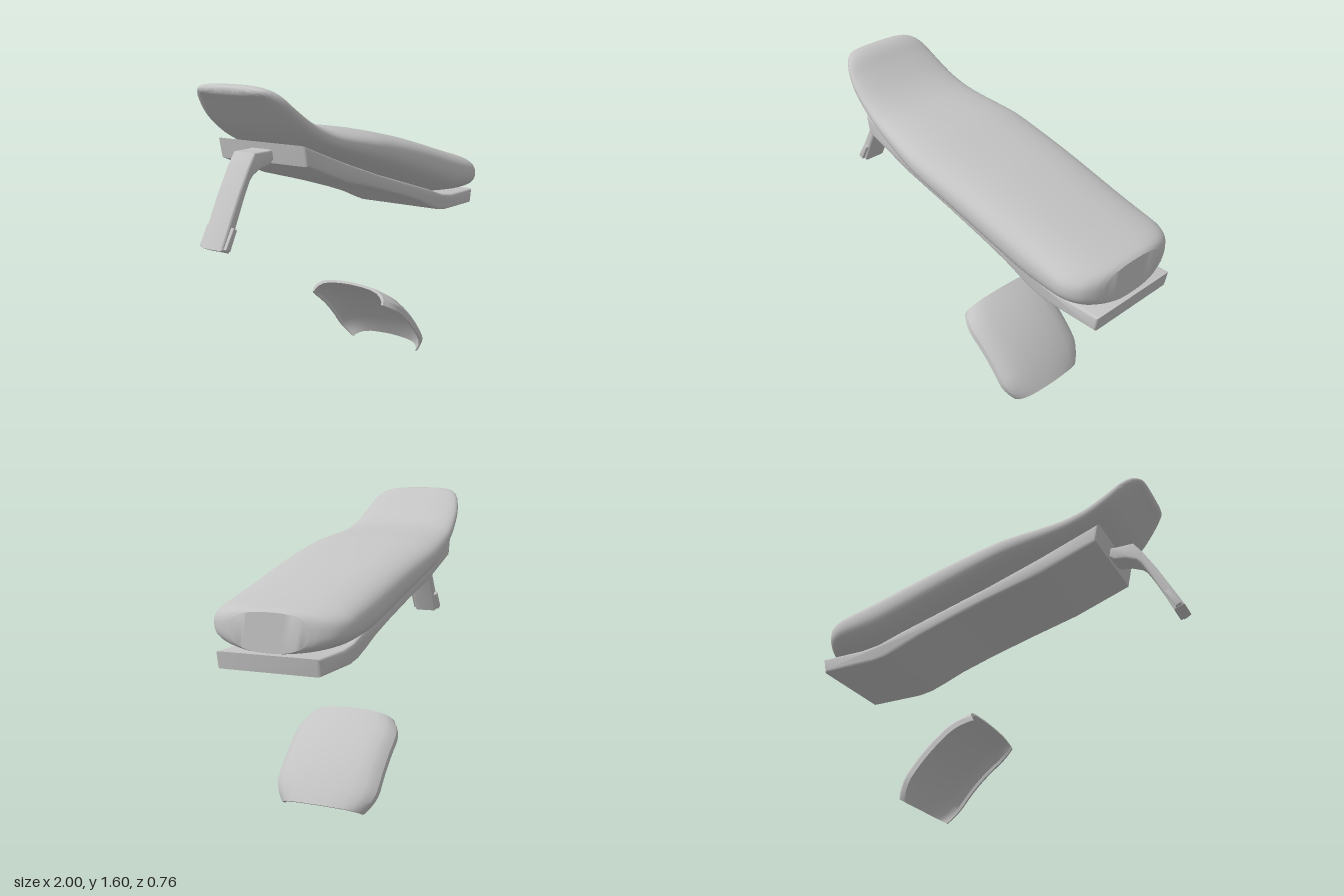
import * as THREE from 'three';
import { toCreasedNormals } from 'three/addons/utils/BufferGeometryUtils.js';

const grey = new THREE.MeshStandardMaterial({ color: 0xc4c4c4 });
grey.name = 'plain grey';

// Skin a row of closed rings (counter-clockwise seen from the last one), capped at both ends
function loft(rings, crease) {
  const n = rings[0].length, last = (rings.length - 1) * n, index = [];
  const quad = (a, b, c, d) => index.push(a, b, c, a, c, d);
  for (let i = 0; i < rings.length - 1; i++) {
    for (let j = 0; j < n; j++) {
      const k = (j + 1) % n;
      quad(i * n + j, i * n + k, (i + 1) * n + k, (i + 1) * n + j);
    }
  }
  for (let j = 0; j < n / 2 - 1; j++) {
    quad(last + j, last + j + 1, last + n - 2 - j, last + n - 1 - j);
    quad(n - 1 - j, n - 2 - j, j + 1, j);
  }
  const geo = new THREE.BufferGeometry().setFromPoints(rings.flat());
  geo.setIndex(index);
  return toCreasedNormals(geo, crease);
}

// Side profile extruded across z with small rounded edges
function slab(points, width, bevel) {
  const shape = new THREE.Shape(points.map(p => new THREE.Vector2(...p)));
  const geo = new THREE.ExtrudeGeometry(shape, {
    depth: width - 2 * bevel, bevelEnabled: true, bevelSize: bevel,
    bevelOffset: -bevel, bevelThickness: bevel, bevelSegments: 3,
  });
  geo.translate(0, 0, bevel - width / 2);
  return toCreasedNormals(geo, 0.6);
}

function cushionGeometry() {
  // x, top, bottom, half width
  const stations = [
    [-0.865, 1.598, 1.575, 0.13], [-0.855, 1.607, 1.56, 0.18], [-0.82, 1.612, 1.525, 0.225],
    [-0.77, 1.59, 1.47, 0.26], [-0.7, 1.533, 1.40, 0.285], [-0.6, 1.465, 1.33, 0.303],
    [-0.5, 1.42, 1.28, 0.32], [-0.4, 1.395, 1.24, 0.337], [-0.2, 1.368, 1.17, 0.372],
    [-0.08, 1.35, 1.13, 0.381], [0.2, 1.292, 1.04, 0.378], [0.4, 1.242, 0.975, 0.374],
    [0.6, 1.187, 0.915, 0.37], [0.75, 1.145, 0.895, 0.366], [0.85, 1.118, 0.89, 0.358],
    [0.92, 1.1, 0.887, 0.32], [0.96, 1.088, 0.887, 0.26], [0.98, 1.075, 0.89, 0.2],
  ];
  const heights = new THREE.CatmullRomCurve3(
    stations.map(s => new THREE.Vector3(s[0], s[1], s[2])), false, 'catmullrom');
  const widths = new THREE.CatmullRomCurve3(
    stations.map(s => new THREE.Vector3(s[3], 0, 0)), false, 'catmullrom');
  const rings = [], steps = 68, around = 56;
  for (let i = 0; i <= steps; i++) {
    const { x, y: top, z: bottom } = heights.getPoint(i / steps);
    const w = widths.getPoint(i / steps).x;
    const mid = (top + bottom) / 2, half = (top - bottom) / 2, ring = [];
    for (let j = 0; j < around; j++) {
      const a = j / around * Math.PI * 2, c = Math.cos(a), s = Math.sin(a);
      const e = s > 0 ? 2 / 2.7 : 2 / 2.4;
      ring.push(new THREE.Vector3(x,
        mid + half * Math.sign(s) * Math.abs(s) ** e,
        -w * Math.sign(c) * Math.abs(c) ** e));
    }
    rings.push(ring);
  }
  return loft(rings, 0.75);
}

function guardGeometry() {
  // Half cross-section: share of the half width, drop below the crown
  const half = [[1, 0.092], [0.99, 0.062], [0.91, 0.04], [0.8, 0.023], [0.6, 0.01], [0.3, 0.003]];
  const across = [...half.map(([f, d]) => [-f, d]), [0, 0], ...half.slice().reverse()];
  const rings = [], steps = 28;
  for (let i = 0; i <= steps; i++) {
    const t = i / steps, a = THREE.MathUtils.degToRad(62.1 - 32.7 * t);
    // Corners are rounded off towards both ends
    const w = 0.285 - 0.05 * Math.max(0, 1 - t / 0.25) ** 2
      - 0.06 * Math.max(0, (t - 0.75) / 0.25) ** 2;
    const at = (f, r) => new THREE.Vector3(
      -0.368 + r * Math.cos(a), -0.456 + r * Math.sin(a), f * w);
    rings.push([
      ...across.map(([f, d]) => at(f, 1.04 - d)),
      ...across.slice().reverse().map(([f, d]) => at(f * 0.955, 1.026 - Math.min(d, 0.078))),
    ]);
  }
  return loft(rings, 0.6);
}

export function createModel() {
  const model = new THREE.Group();
  model.name = 'seatAssembly';
  const add = (name, geometry) => {
    const mesh = new THREE.Mesh(geometry, grey);
    mesh.name = name;
    model.add(mesh);
  };

  add('cushion', cushionGeometry());

  // Plate under the cushion
  add('seatBase', slab([
    [-0.62, 1.23], [-0.31, 1.115], [0, 1.03], [0.25, 0.955], [0.4, 0.905], [0.52, 0.855],
    [0.6, 0.825], [0.68, 0.81], [0.985, 0.803], [1.0, 0.885], [0.75, 0.89], [0.65, 0.905],
    [0.5, 0.955], [0.25, 1.03], [0, 1.105], [-0.3, 1.205], [-0.64, 1.33],
  ], 0.535, 0.015));

  // Bent arm at the raised end, with a raised tab on each side of its tip
  add('rearArm', slab([
    [-0.61, 1.3], [-0.65, 1.295], [-0.755, 1.295], [-0.8, 1.235], [-0.87, 1.12], [-0.93, 1.01],
    [-1.0, 0.88], [-0.945, 0.858], [-0.89, 0.98], [-0.83, 1.1], [-0.79, 1.17], [-0.765, 1.193],
    [-0.71, 1.217], [-0.645, 1.227], [-0.61, 1.255],
  ], 0.132, 0.01));
  add('armTabs', slab([
    [-0.987, 0.885], [-0.957, 0.87], [-0.907, 0.962], [-0.93, 0.977],
  ], 0.165, 0.005));

  // Separate curved guard below
  add('curvedGuard', guardGeometry());
  return model;
}
